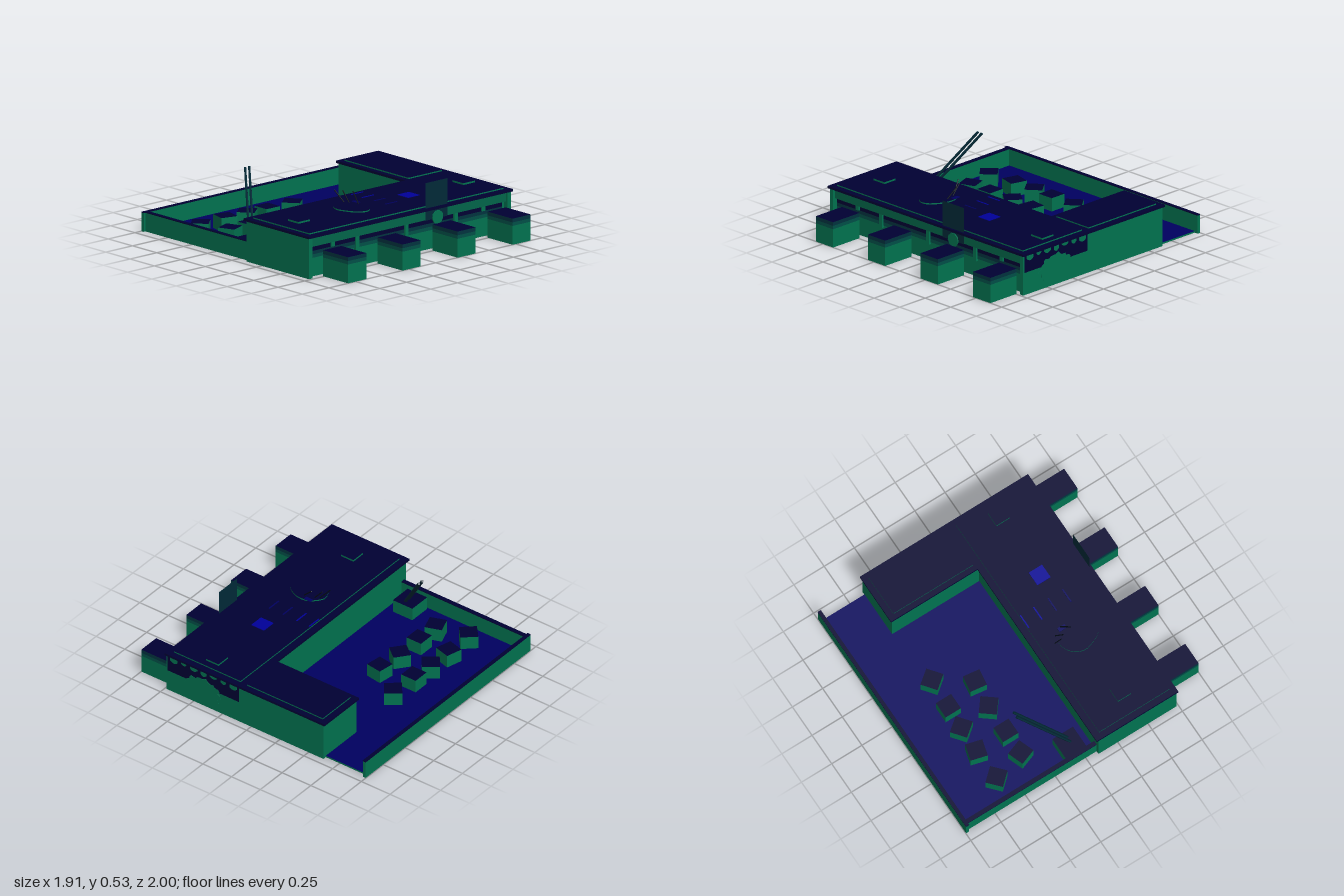
import * as THREE from 'three';

const mat = (name, color, side = THREE.FrontSide) => {
  const m = new THREE.MeshStandardMaterial({ color, side });
  m.name = name;
  return m;
};

export function createModel() {
  const model = new THREE.Group();
  model.name = 'counterRoom';

  const green = mat('green', 0x007350);
  const apronGreen = mat('deepGreen', 0x00664a);
  const navy = mat('navy', 0x000033);
  const blue = mat('floorBlue', 0x000060);
  const bright = mat('brightBlue', 0x000099);
  const teal = mat('teal', 0x00333f);
  const tealMid = mat('midTeal', 0x005048);
  const sheetMat = mat('sheetTeal', 0x002a38, THREE.DoubleSide);
  const black = mat('nearBlack', 0x000a14);

  // box from min/max ranges, with separate side and top colours and a blue underside
  function box(name, x, y, z, side = green, top = navy, parent = model) {
    const g = new THREE.BoxGeometry(x[1] - x[0], y[1] - y[0], z[1] - z[0]);
    const m = new THREE.Mesh(g, [side, side, top, blue, side, side]);
    m.position.set((x[0] + x[1]) / 2, (y[0] + y[1]) / 2, (z[0] + z[1]) / 2);
    m.name = name;
    parent.add(m);
    return m;
  }

  // straight bar between two points
  function bar(name, a, b, r, material, sides) {
    const p = new THREE.Vector3(...a), q = new THREE.Vector3(...b);
    const d = q.clone().sub(p);
    const m = new THREE.Mesh(new THREE.CylinderGeometry(r, r, d.length(), sides), material);
    m.position.copy(p).add(q).multiplyScalar(0.5);
    m.quaternion.setFromUnitVectors(new THREE.Vector3(0, 1, 0), d.normalize());
    m.name = name;
    model.add(m);
  }

  // floor and low walls
  box('floor', [-0.92, 0.92], [0, 0.012], [-0.985, 0.1], green, blue);
  box('backWall', [-0.938, 0.948], [0, 0.134], [-0.998, -0.976]);
  box('backWallCap', [-0.94, 0.95], [0.134, 0.14], [-1, -0.973], navy);
  box('sideWall', [-0.923, -0.896], [0, 0.134], [-0.976, 0.09]);
  box('sideWallCap', [-0.925, -0.893], [0.134, 0.14], [-0.973, 0.09], navy);

  // main and side counter
  box('counterBody', [-0.92, 0.92], [0, 0.29], [0.09, 0.695]);
  for (const s of [-1, 1])
    box('endPanel', s < 0 ? [-0.947, -0.915] : [0.915, 0.947], [0, 0.29], [0.09, 0.735]);
  box('sideCounterBody', [0.57, 0.947], [0, 0.29], [-0.63, 0.1]);
  box('counterTop', [-0.957, 0.957], [0.29, 0.307], [0.07, 0.745], navy);
  box('sideCounterTop', [0.56, 0.957], [0.29, 0.307], [-0.645, 0.07], navy);
  box('topInlay', [-0.91, 0.91], [0.307, 0.316], [0.12, 0.7]);
  box('sideInlay', [0.6, 0.915], [0.307, 0.316], [-0.6, 0.06]);

  // counter front: apron, shaded recess in bands, brackets
  box('apron', [-0.915, 0.915], [0.22, 0.29], [0.695, 0.718], apronGreen);
  const bands = [[0.185, 0.22, navy], [0.16, 0.185, teal], [0.135, 0.16, tealMid]];
  for (const [y0, y1, m] of bands)
    box('recessBand', [-0.91, 0.89], [y0, y1], [0.695, 0.702], m, m);
  for (const x of [-0.47, -0.01, 0.45])
    box('bracket', [x - 0.016, x + 0.016], [0.12, 0.22], [0.695, 0.715]);
  for (const x of [-0.7, 0.71])
    box('shortBracket', [x - 0.016, x + 0.016], [0.187, 0.22], [0.695, 0.715]);

  // stools
  for (const x of [-0.735, -0.225, 0.29, 0.805]) {
    const stool = new THREE.Group();
    stool.name = 'stool';
    model.add(stool);
    const w = [x - 0.085, x + 0.085], d = [0.742, 1];
    box('stoolBase', w, [0, 0.135], d, green, navy, stool);
    box('stoolCushionLower', w, [0.135, 0.16], d, tealMid, navy, stool);
    box('stoolCushion', w, [0.16, 0.187], d, teal, navy, stool);
  }

  // painted end panel: dark ground, hanging drops, ragged splash
  const plate = (name, shape, x, material) => {
    const g = new THREE.ExtrudeGeometry(shape, { depth: 0.002, bevelEnabled: false, curveSegments: 6 });
    g.rotateY(Math.PI / 2);
    const m = new THREE.Mesh(g, material);
    m.position.x = x;
    m.name = name;
    model.add(m);
  };
  box('muralGround', [0.945, 0.949], [0.165, 0.287], [0.105, 0.725], navy);
  for (let i = 0; i < 7; i++) {
    const z = 0.155 + i * 0.086, w = i % 2 ? 0.024 : 0.032, low = 0.25 + (i % 3) * 0.008;
    const s = new THREE.Shape();
    s.moveTo(-z - w, 0.285);
    s.lineTo(-z - w, low + 0.012);
    s.quadraticCurveTo(-z, low - 0.018, -z + w, low + 0.012);
    s.lineTo(-z + w, 0.285);
    s.closePath();
    plate('muralDrop', s, 0.949, green);
  }
  const splash = [];
  for (let i = 0; i < 40; i++) {
    const a = (i / 40) * Math.PI * 2;
    const k = 0.9 + 0.07 * Math.sin(i * 2.3) + 0.05 * Math.sin(i * 5.1);
    splash.push(new THREE.Vector2(-0.42 + 0.17 * k * Math.cos(a), 0.127 + 0.11 * k * Math.sin(a)));
  }
  plate('muralSplash', new THREE.Shape(splash), 0.95, green);

  // hanging sheet and round ornament at the front
  const sheet = new THREE.Mesh(new THREE.PlaneGeometry(0.21, 0.27), sheetMat);
  sheet.position.set(0.255, 0.355, 0.728);
  sheet.name = 'hangingSheet';
  model.add(sheet);
  const ornament = new THREE.Mesh(new THREE.CylinderGeometry(0.05, 0.05, 0.008, 9), green);
  ornament.rotation.x = Math.PI / 2;
  ornament.position.set(0.26, 0.23, 0.734);
  ornament.name = 'roundOrnament';
  model.add(ornament);

  // things on the counter
  for (const x of [-0.74, 0.805])
    box('smallTray', [x - 0.055, x + 0.055], [0.316, 0.329], [0.35, 0.46]);
  box('blueTile', [0.23, 0.34], [0.316, 0.32], [0.35, 0.46], bright, bright);
  [0.13, 0.24, 0.36, 0.48].forEach((z, i) => {
    const m = i < 2 ? bright : blue;
    box('blueStrip', [0, 0.11], [0.316, 0.319], [z - 0.005, z + 0.005], m, m);
  });
  const leaf = new THREE.Shape();
  leaf.moveTo(-0.21, -0.24);
  leaf.bezierCurveTo(-0.3, -0.24, -0.38, -0.34, -0.34, -0.42);
  leaf.bezierCurveTo(-0.31, -0.54, -0.23, -0.57, -0.18, -0.52);
  leaf.bezierCurveTo(-0.1, -0.44, -0.07, -0.3, -0.21, -0.24);
  const leafGeo = new THREE.ExtrudeGeometry(leaf, { depth: 0.009, bevelEnabled: false, curveSegments: 8 });
  leafGeo.rotateX(-Math.PI / 2);
  const leafMesh = new THREE.Mesh(leafGeo, [navy, green]);
  leafMesh.position.y = 0.316;
  leafMesh.name = 'servingPlate';
  model.add(leafMesh);
  box('blueGarnish', [-0.145, -0.115], [0.325, 0.329], [0.29, 0.35], blue, blue);
  bar('pick', [-0.195, 0.325, 0.27], [-0.222, 0.405, 0.2], 0.004, black, 6);
  bar('pick', [-0.175, 0.325, 0.3], [-0.175, 0.4, 0.235], 0.004, black, 6);
  bar('pick', [-0.155, 0.325, 0.375], [-0.138, 0.4, 0.3], 0.004, black, 6);

  // storage box with two long poles
  box('poleBox', [-0.885, -0.715], [0.012, 0.11], [-0.14, 0.03]);
  for (const dx of [0, 0.038])
    bar('pole', [-0.8 + dx, 0.1, -0.04], [-0.567 + dx, 0.52, -0.34], 0.011, sheetMat, 4);

  // scattered crates: x, z, turn in degrees
  const crates = [
    [-0.735, -0.615, 42], [-0.495, -0.625, -15], [-0.295, -0.62, 38],
    [-0.115, -0.61, 0], [0.11, -0.6, 38], [-0.675, -0.375, 20],
    [-0.485, -0.375, 0], [-0.265, -0.375, -38], [-0.06, -0.355, -8],
  ];
  for (const [x, z, turn] of crates) {
    const c = box('crate', [x - 0.063, x + 0.063], [0.012, 0.11], [z - 0.063, z + 0.063]);
    c.rotation.y = THREE.MathUtils.degToRad(turn);
  }
  return model;
}
